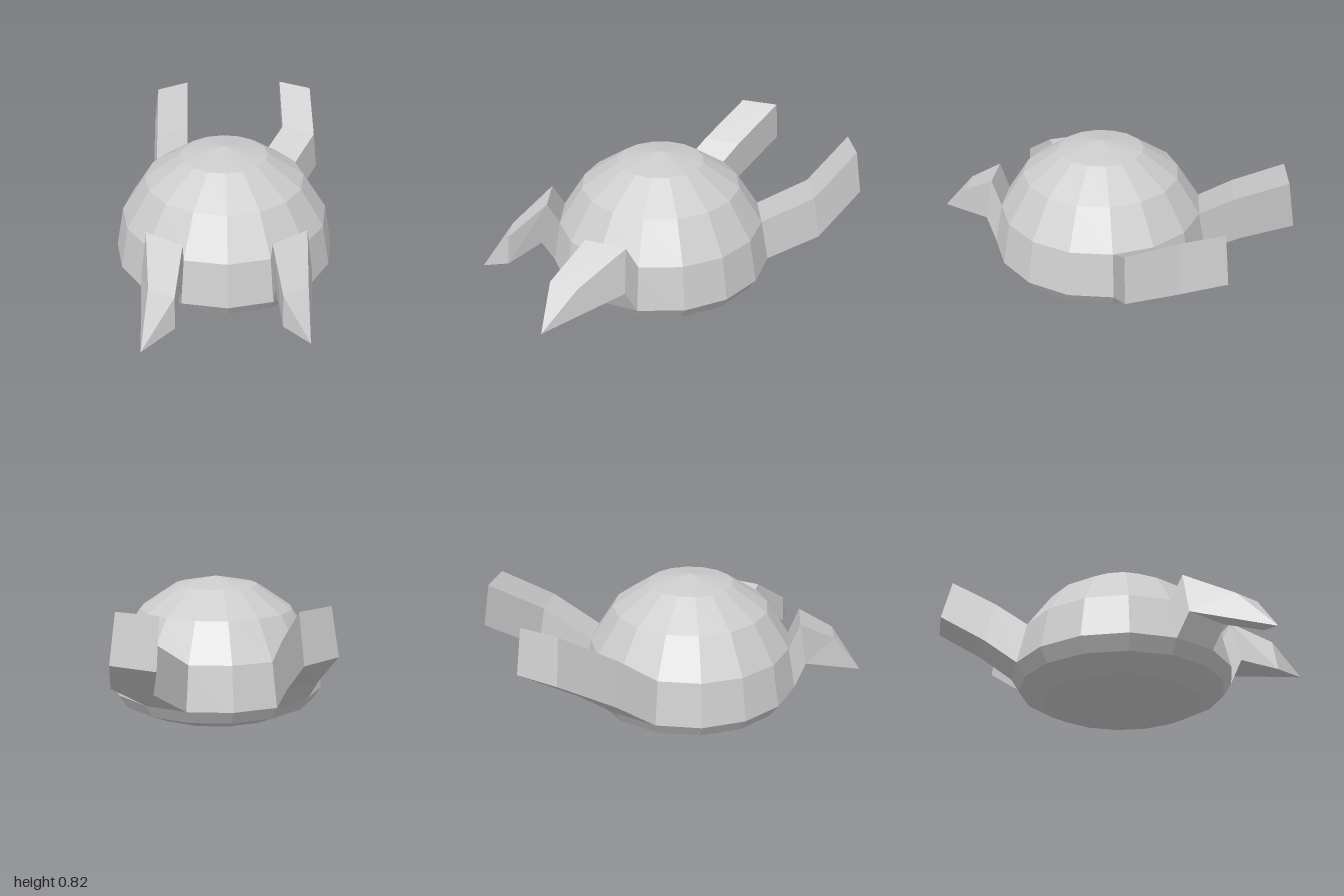
import * as THREE from 'three';

const material = new THREE.MeshStandardMaterial({ color: 0xcccccc, flatShading: true });
const BODY_Z = 0.062;

// Point on the 16-sided shell, seg steps of 22.5 degrees away from the z axis
function shellPoint(radius, y, seg, sx, sz) {
  const a = (seg * Math.PI) / 8;
  return [sx * radius * Math.sin(a), y, BODY_Z + sz * radius * Math.cos(a)];
}

// Four corners of the shell panel a limb grows from:
// bottom inner, bottom outer, top outer, top inner
function panel(sx, sz) {
  return [
    shellPoint(0.612, 0.21, 1, sx, sz),
    shellPoint(0.612, 0.21, 2, sx, sz),
    shellPoint(0.565, 0.443, 2, sx, sz),
    shellPoint(0.565, 0.443, 1, sx, sz),
  ];
}

const shift = (ring, d) => ring.map((p) => p.map((v, i) => v + d[i]));

// Skin a chain of four-cornered rings and close the far end
function limb(name, rings, flip) {
  const pos = [];
  const tri = (a, b, c) => pos.push(...a, ...(flip ? c : b), ...(flip ? b : c));
  for (let r = 0; r < rings.length - 1; r++) {
    const a = rings[r], b = rings[r + 1];
    for (let i = 0; i < 4; i++) {
      const j = (i + 1) % 4;
      tri(a[i], a[j], b[j]);
      tri(a[i], b[j], b[i]);
    }
  }
  const e = rings[rings.length - 1];
  tri(e[0], e[1], e[3]);
  tri(e[1], e[2], e[3]);
  const geo = new THREE.BufferGeometry();
  geo.setAttribute('position', new THREE.Float32BufferAttribute(pos, 3));
  geo.computeVertexNormals();
  const mesh = new THREE.Mesh(geo, material);
  mesh.name = name;
  return mesh;
}

export function createModel() {
  const model = new THREE.Group();
  model.name = 'shelledCreature';

  // Domed shell with a shallow belly
  const profile = [
    [0, 0.002], [0.234, 0.027], [0.433, 0.073], [0.565, 0.136], [0.612, 0.21],
    [0.565, 0.443], [0.433, 0.643], [0.234, 0.775], [0, 0.82],
  ].map(([x, y]) => new THREE.Vector2(x, y));
  const body = new THREE.Mesh(new THREE.LatheGeometry(profile, 16), material);
  body.name = 'body';
  body.position.z = BODY_Z;
  model.add(body);

  // Front claws: a raised shoulder, then a taper to a pointed outer corner
  for (const [side, name, tip] of [
    [1, 'leftFrontClaw', [0.375, 0.25, 0.995]],
    [-1, 'rightFrontClaw', [-0.415, 0.2, 0.977]],
  ]) {
    const base = panel(side, 1);
    const shoulder = shift(base, [0, 0.133, 0.067]);
    const end = [
      [side * 0.255, 0.267, 0.89],
      tip,
      [side * 0.38, 0.43, 0.79],
      [side * 0.252, 0.433, 0.872],
    ];
    model.add(limb(name, [base, shoulder, end], side < 0));
  }

  // Rear legs: the left one steps outward, the right one runs straight back
  for (const [side, name, out] of [
    [1, 'leftRearLeg', 0.174],
    [-1, 'rightRearLeg', 0],
  ]) {
    const base = panel(side, -1);
    const knee = shift(base, [out, 0.162, -0.205]);
    const end = shift(base, [out, 0.355, -0.497]);
    model.add(limb(name, [base, knee, end], side > 0));
  }

  return model;
}
